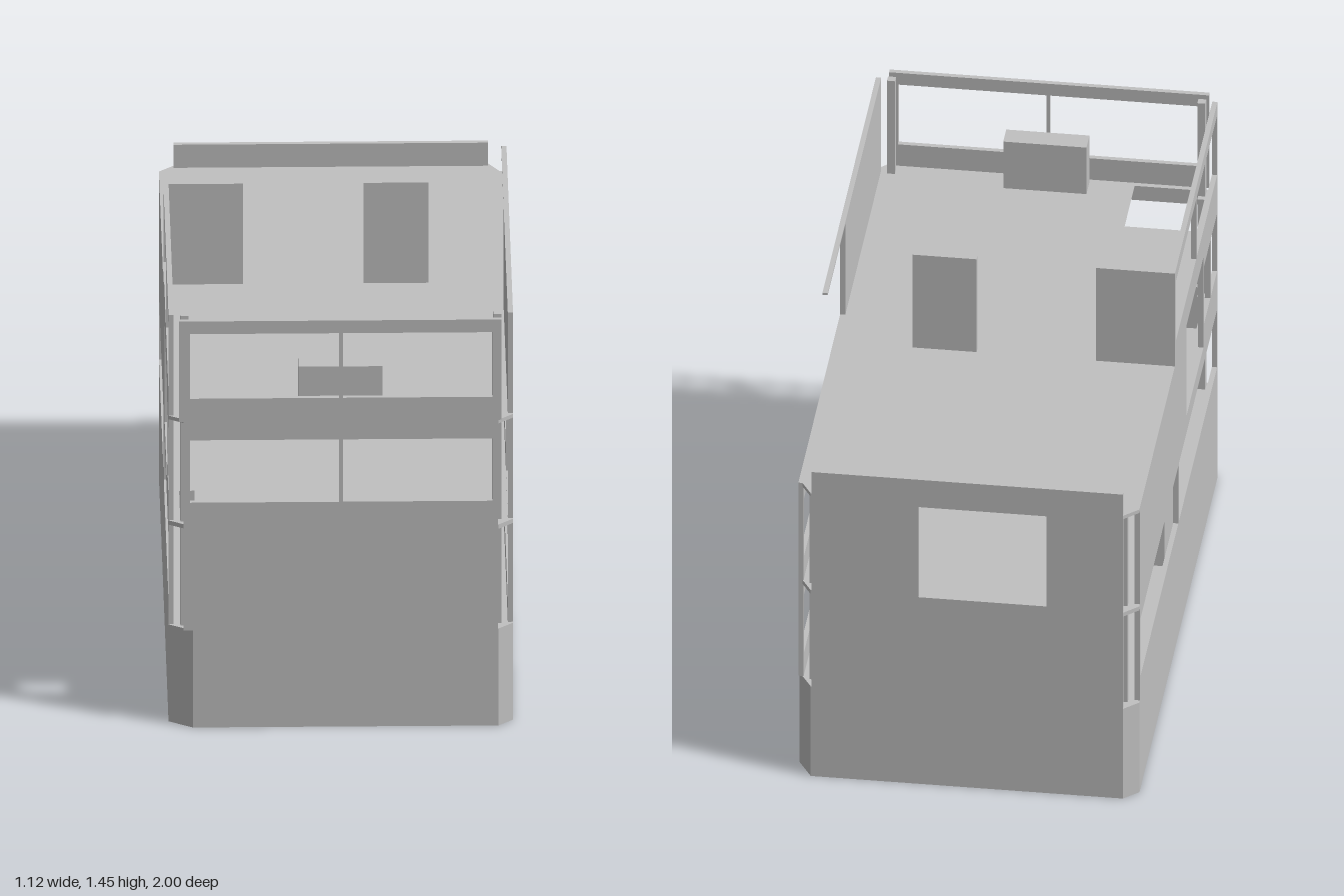
import * as THREE from 'three';

const T = 0.017; // wall thickness
const X = 0.558; // half width
const grey = new THREE.MeshStandardMaterial({ color: 0xc0c0c0 });
grey.name = 'plain grey';

// Shape with rectangular openings; each opening is [u0, u1, v0, v1]
function panelShape(points, openings = []) {
  const shape = new THREE.Shape(points.map(([u, v]) => new THREE.Vector2(u, v)));
  for (const [a, b, c, d] of openings) {
    shape.holes.push(new THREE.Path([[a, c], [a, d], [b, d], [b, c]].map(([u, v]) => new THREE.Vector2(u, v))));
  }
  return shape;
}

const extrude = (shape, depth) => new THREE.ExtrudeGeometry(shape, { depth, bevelEnabled: false });
const rect = (a, b, c, d) => [[a, c], [b, c], [b, d], [a, d]];

export function createModel() {
  const model = new THREE.Group();
  model.name = 'threeDeckHouse';

  const add = (name, geometry) => {
    const mesh = new THREE.Mesh(geometry, grey);
    mesh.name = name;
    model.add(mesh);
  };
  const box = (name, x0, x1, y0, y1, z0, z1) => {
    const g = new THREE.BoxGeometry(x1 - x0, y1 - y0, z1 - z0);
    add(name, g.translate((x0 + x1) / 2, (y0 + y1) / 2, (z0 + z1) / 2));
  };
  // Wall across the width, starting at depth z
  const crossWall = (name, z, x0, x1, y0, y1, openings) =>
    add(name, extrude(panelShape(rect(x0, x1, y0, y1), openings), T).translate(0, 0, z));
  // Wall along the length; side is 1 for the left, -1 for the right
  const sideWall = (name, side, z0, z1, y0, y1, openings) => {
    const g = extrude(panelShape(rect(z0, z1, y0, y1), openings), T).rotateY(-Math.PI / 2);
    add(name, g.translate(side > 0 ? X : -X + T, 0, 0));
  };

  // Chamfered plan used by the base and the floors
  const plan = [
    [-0.48, 1], [-X, 0.95], [-X, -0.955], [-0.51, -1],
    [0.51, -1], [X, -0.92], [X, 0.955], [0.51, 1],
  ];
  const slab = (name, y0, y1, openings) => {
    // Plan z is negated so that the slab can be laid flat
    const shape = panelShape(plan.map(([x, z]) => [x, -z]), openings);
    add(name, extrude(shape, y1 - y0).rotateX(-Math.PI / 2).translate(0, y0, 0));
  };
  const hatch = [[-0.52, -0.285, -0.965, -0.72]];
  slab('base', 0, 0.345);
  slab('middleFloor', 0.7, 0.715, hatch);
  slab('upperDeck', 1.075, 1.088, hatch);

  // Lower storey
  const lowWindows = [[-0.932, -0.006, 0.43, 0.652], [0.006, 0.938, 0.43, 0.652]];
  for (const s of [1, -1]) sideWall('lowerSideWall', s, -0.942, 0.948, 0.345, 0.715, lowWindows);
  crossWall('lowerFrontWall', 1 - T, -0.51, 0.508, 0.345, 0.715);

  // Middle storey
  sideWall('middleLeftWall', 1, -0.942, 0.948, 0.715, 1.088, [
    [0.585, 0.944, 0.718, 1.065],
    [-0.168, 0.572, 0.8, 1.022],
    [-0.932, -0.18, 0.8, 1.022],
  ]);
  sideWall('middleRightWall', -1, -0.942, 0.948, 0.715, 1.088, [
    [0.187, 0.605, 0.718, 1.065],
    [0.615, 0.775, 0.8, 1.022],
    [0.787, 0.938, 0.8, 1.022],
  ]);
  crossWall('middleFrontWall', 1 - T, -0.51, 0.508, 0.715, 1.088,
    [[-0.49, -0.006, 0.8, 1.022], [0.006, 0.49, 0.8, 1.022]]);
  crossWall('backWall', -1, -0.51, 0.508, 0.345, 1.17, [[-0.26, 0.158, 0.718, 1.065]]);

  // Upper storey
  sideWall('upperLeftWall', 1, 0.075, 0.948, 1.088, 1.445);
  box('topRail', X - T, X, 1.437, 1.445, -0.355, 0.075);
  sideWall('upperRightWall', -1, -0.09, 0.948, 1.088, 1.445,
    [[-0.068, 0.43, 1.17, 1.4], [0.442, 0.938, 1.17, 1.4]]);
  crossWall('upperFrontWall', 1 - T, -0.525, 0.52, 1.088, 1.445,
    [[-0.49, -0.006, 1.17, 1.4], [0.006, 0.49, 1.17, 1.4]]);
  crossWall('partition', -0.09, -X + T, -0.3, 1.088, 1.445);
  crossWall('partition', -0.09, 0.09, 0.3, 1.088, 1.445);

  // Corner posts, storey by storey; the upper storey has them at the front only
  for (const [y0, y1, ends] of [[0.345, 0.7, [1, -1]], [0.715, 1.075, [1, -1]], [1.088, 1.445, [1]]]) {
    for (const end of ends) {
      for (const s of [1, -1]) {
        const x = s * 0.507, z = end * 0.945;
        box('cornerPost', x - 0.013, x + 0.013, y0, y1, z - 0.013, z + 0.013);
      }
    }
  }

  // Cabinets standing against the walls
  box('cabinet', -0.53, -0.46, 0.345, 0.525, -0.135, 0.14);
  box('cabinet', -0.135, 0.135, 0.345, 0.525, -0.968, -0.893);
  box('cabinet', 0.452, 0.525, 0.715, 0.895, -0.315, -0.04);
  box('cabinet', -0.137, 0.135, 1.088, 1.267, 0.895, 0.968);

  return model;
}
